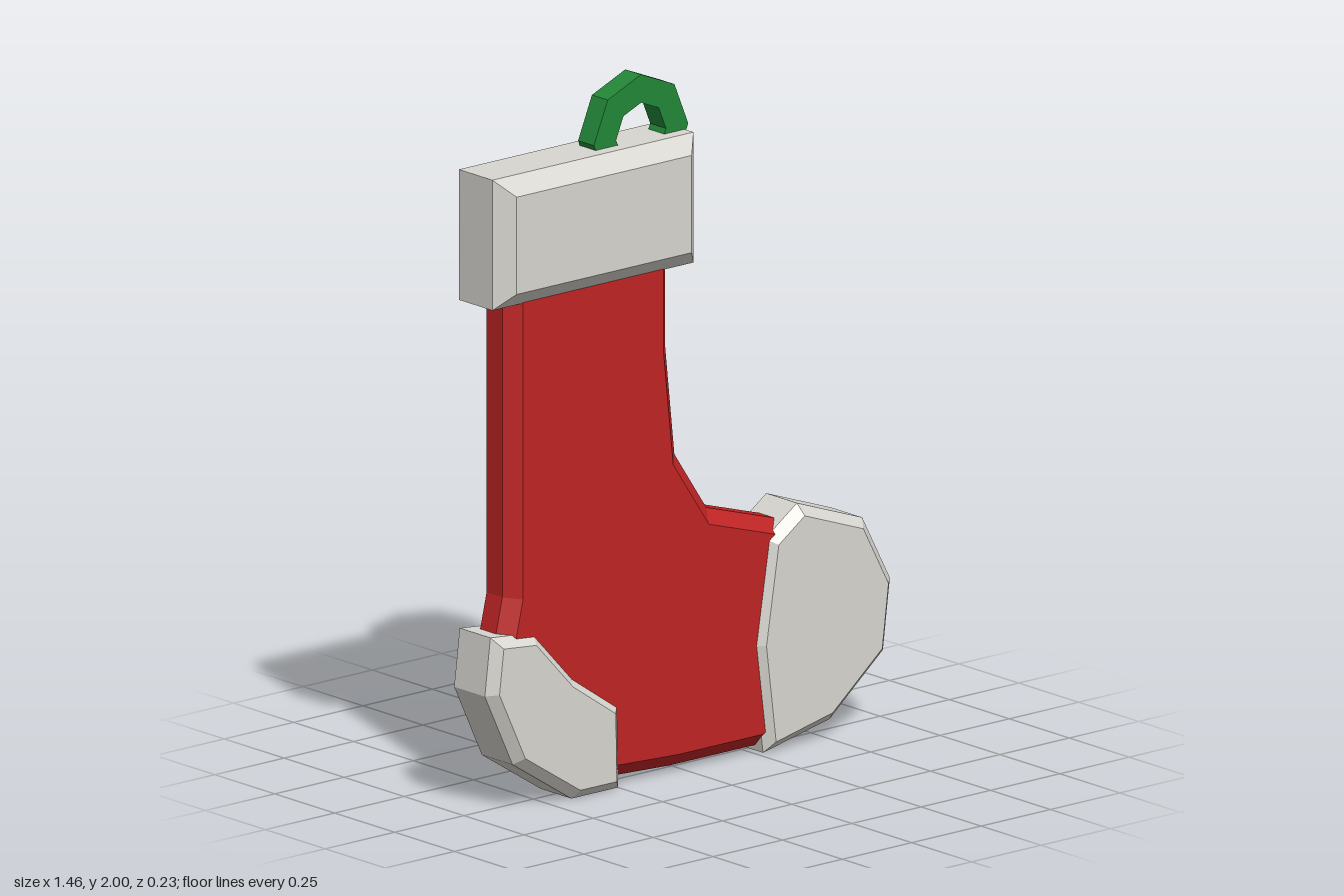
import * as THREE from 'three';

const knitRed = new THREE.MeshStandardMaterial({ color: 0xc02424 });
const fleeceWhite = new THREE.MeshStandardMaterial({ color: 0xd8d6d0 });
const loopGreen = new THREE.MeshStandardMaterial({ color: 0x228838 });

// Slab centred on z = 0 whose front and back edges are chamfered inward from the outline
function slab(name, points, halfDepth, bevel, material, hole) {
  const shape = new THREE.Shape(points.map(([x, y]) => new THREE.Vector2(x, y)));
  if (hole) shape.holes.push(new THREE.Path(hole.map(([x, y]) => new THREE.Vector2(x, y))));
  const depth = 2 * (halfDepth - bevel);
  const geometry = new THREE.ExtrudeGeometry(shape, {
    depth,
    bevelEnabled: bevel > 0,
    bevelThickness: bevel,
    bevelSize: bevel,
    bevelOffset: -bevel,
    bevelSegments: 1,
  });
  geometry.translate(0, 0, -depth / 2);
  const mesh = new THREE.Mesh(geometry, material);
  mesh.name = name;
  return mesh;
}

function octagon(cx, cy, radius) {
  return Array.from({ length: 8 }, (_, i) => {
    const a = (i * Math.PI) / 4;
    return [cx + radius * Math.cos(a), cy + radius * Math.sin(a)];
  });
}

export function createModel() {
  const stocking = new THREE.Group();
  stocking.name = 'stocking';

  // Leg and foot, running on inside the cuff, heel and toe
  stocking.add(slab('sock', [
    [-0.64, 1.6], [-0.64, 0.61], [-0.67, 0.48], [-0.68, 0.35], [-0.58, 0.16],
    [-0.4, 0.05], [-0.25, 0.03], [-0.04, 0.02], [0.27, 0.02], [0.48, 0.09],
    [0.62, 0.25], [0.64, 0.4], [0.55, 0.56], [0.345, 0.65], [0.095, 0.727],
    [-0.02, 0.9], [-0.053, 1.21], [-0.053, 1.6],
  ], 0.073, 0.04, knitRed));

  // Thick folded cuff
  stocking.add(slab('cuff', [
    [-0.708, 1.445], [0.017, 1.445], [0.017, 1.815], [-0.708, 1.815],
  ], 0.117, 0.047, fleeceWhite));

  // Heel patch
  stocking.add(slab('heel', [
    [-0.71, 0.515], [-0.73, 0.352], [-0.63, 0.14], [-0.418, 0.004],
    [-0.25, 0.004], [-0.254, 0.24], [-0.418, 0.352], [-0.555, 0.5],
  ], 0.092, 0.028, fleeceWhite));

  // Toe cap
  stocking.add(slab('toe', [
    [0.395, 0.69], [0.28, 0.61], [0.233, 0.315], [0.273, 0.004],
    [0.513, 0.055], [0.705, 0.215], [0.73, 0.415], [0.63, 0.605],
  ], 0.092, 0.028, fleeceWhite));

  // Hanging loop, its lower half sunk into the cuff
  stocking.add(slab('hangingLoop', octagon(-0.14, 1.83, 0.17), 0.033, 0,
    loopGreen, octagon(-0.14, 1.83, 0.09)));

  return stocking;
}
